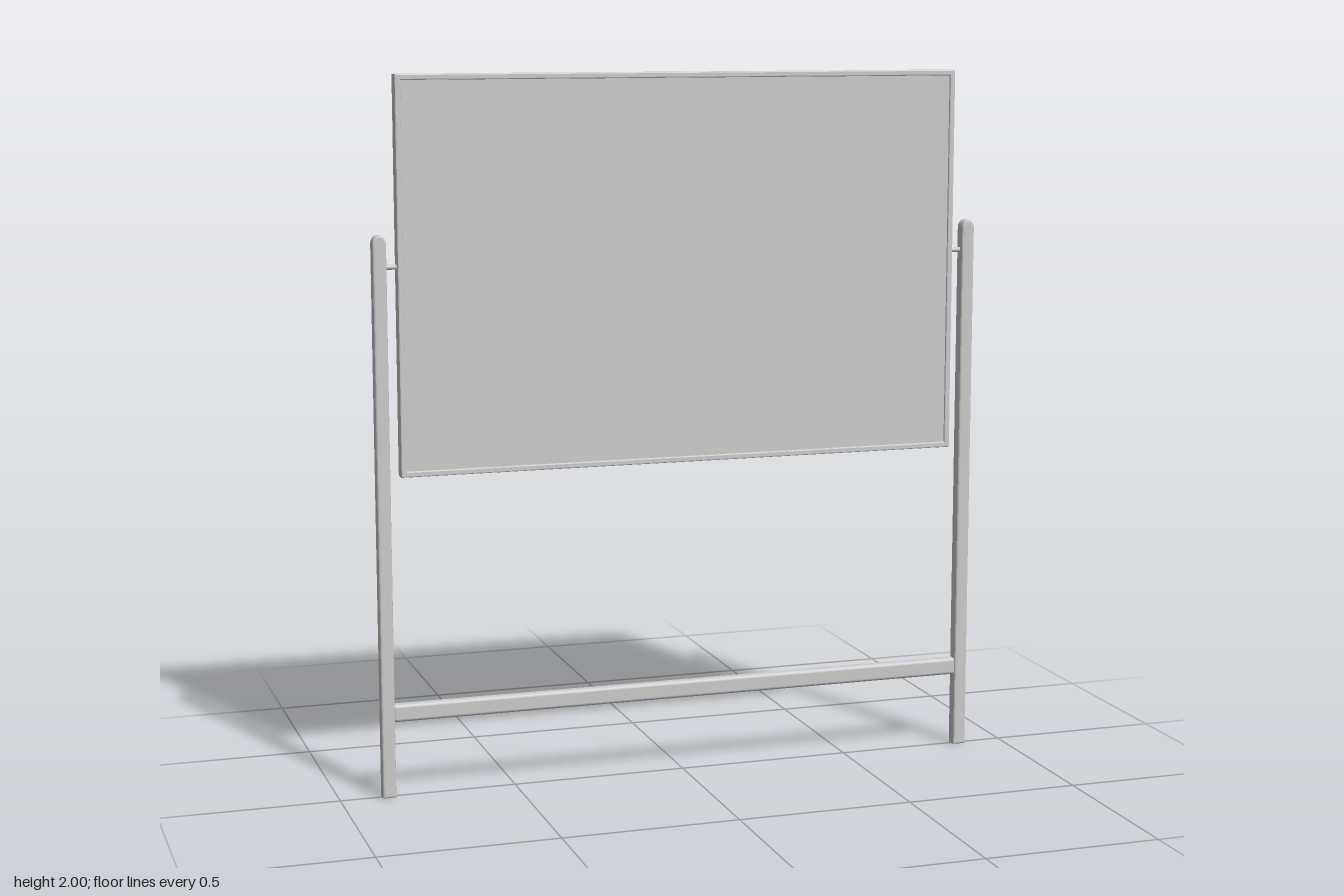
import * as THREE from 'three';
import { RoundedBoxGeometry } from 'three/addons/geometries/RoundedBoxGeometry.js';

const grey = new THREE.MeshStandardMaterial({ color: 0xcccccc });

function add(group, name, geometry, x, y, z) {
  const mesh = new THREE.Mesh(geometry, grey);
  mesh.name = name;
  mesh.position.set(x, y, z);
  group.add(mesh);
  return mesh;
}

// Square tube post with a domed top, softened along its front and back edges
function postGeometry(width, depth, height) {
  const bevel = 0.006;
  const r = width / 2 - bevel;
  const s = new THREE.Shape();
  s.moveTo(-r, bevel);
  s.lineTo(r, bevel);
  s.lineTo(r, height - bevel - r * 1.4);
  s.absellipse(0, height - bevel - r * 1.4, r, r * 1.4, 0, Math.PI, false);
  s.closePath();
  const g = new THREE.ExtrudeGeometry(s, {
    depth: depth - 2 * bevel, bevelEnabled: true, bevelSize: bevel,
    bevelThickness: bevel, bevelSegments: 3, curveSegments: 10,
  });
  return g.translate(0, 0, bevel - depth / 2);
}

function rect(path, w, h) {
  path.moveTo(-w, -h);
  path.lineTo(w, -h);
  path.lineTo(w, h);
  path.lineTo(-w, h);
  path.closePath();
  return path;
}

export function createModel() {
  const model = new THREE.Group();
  model.name = 'pivotingBoardStand';

  // Board panel held inside a thin border frame
  const halfW = 0.815, halfH = 0.5475, lip = 0.013, depth = 0.041, bevel = 0.003;
  const boardY = 2 - halfH;
  const border = rect(new THREE.Shape(), halfW - bevel, halfH - bevel);
  border.holes.push(rect(new THREE.Path(), halfW - lip, halfH - lip));
  const frame = new THREE.ExtrudeGeometry(border, {
    depth: depth - 2 * bevel, bevelEnabled: true, bevelSize: bevel,
    bevelThickness: bevel, bevelSegments: 2,
  }).translate(0, 0, bevel - depth / 2);
  add(model, 'boardFrame', frame, 0, boardY, 0);
  add(model, 'boardPanel',
    new THREE.BoxGeometry(2 * (halfW - lip / 2), 2 * (halfH - lip / 2), 0.03), 0, boardY, 0);

  // Posts and pivot pins on both sides
  for (const [side, sx] of [['left', 1], ['right', -1]]) {
    add(model, side + 'Post', postGeometry(0.038, 0.038, 1.57), sx * 0.864, 0, 0.002);
    const pin = add(model, side + 'PivotPin',
      new THREE.CylinderGeometry(0.007, 0.007, 0.05, 16), sx * 0.832, 1.482, 0);
    pin.rotation.z = Math.PI / 2;
  }

  // Lower cross rail
  add(model, 'crossRail', new RoundedBoxGeometry(1.7, 0.05, 0.032, 4, 0.01), 0, 0.24, 0.002);

  return model;
}
